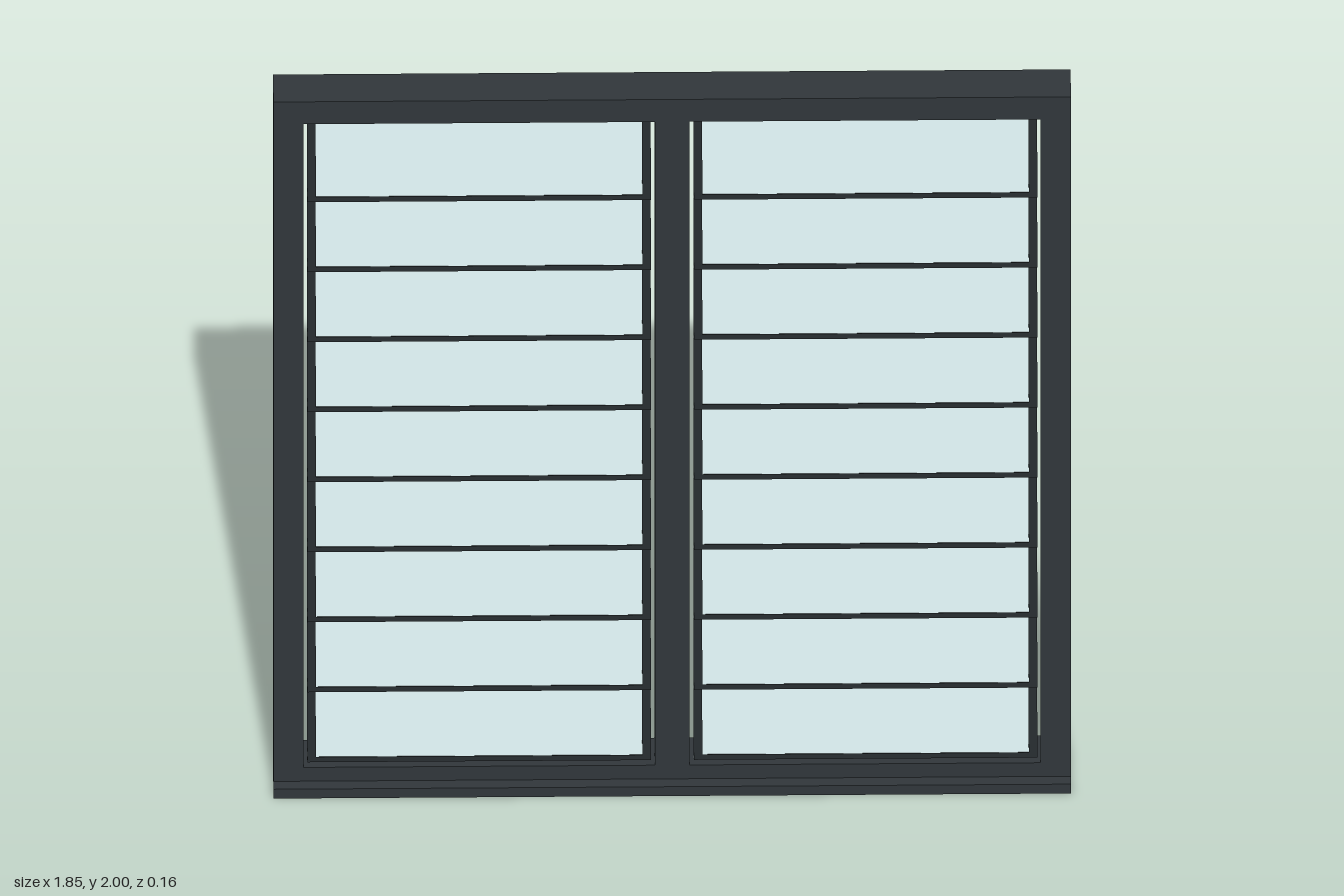
import * as THREE from 'three';

export function createModel() {
  const group = new THREE.Group();
  const frameMat = new THREE.MeshStandardMaterial({ color: 0x30363a });
  const clipMat = new THREE.MeshStandardMaterial({ color: 0x23282b });
  const glassMat = new THREE.MeshStandardMaterial({ color: 0xcfe2e4 });

  const box = (parent, name, mat, w, h, d, x, y, z) => {
    const mesh = new THREE.Mesh(new THREE.BoxGeometry(w, h, d), mat);
    mesh.name = name;
    mesh.position.set(x, y, z);
    parent.add(mesh);
    return mesh;
  };

  // Outer frame, mullion and projecting sill
  const depth = 0.105, zc = -0.0125;
  const frame = new THREE.Group();
  frame.name = 'frame';
  group.add(frame);
  box(frame, 'sill', frameMat, 1.845, 0.027, 0.15, 0, 0.0135, -0.005);
  for (const s of [-1, 1])
    box(frame, s > 0 ? 'leftStile' : 'rightStile', frameMat, 0.07, 1.973, depth, s * 0.8875, 1.0135, zc);
  box(frame, 'topRail', frameMat, 1.705, 0.065, depth, 0, 1.9675, zc);
  box(frame, 'bottomRail', frameMat, 1.705, 0.04, depth, 0, 0.047, zc);
  box(frame, 'mullion', frameMat, 0.08, 1.868, depth, 0, 1.001, zc);

  // Tilted louvre: glass blade held by two end clips and a bottom edge strip
  const length = 0.204, tilt = -0.43, width = 0.795;
  const makeLouvre = () => {
    const louvre = new THREE.Group();
    louvre.name = 'louvre';
    box(louvre, 'glassBlade', glassMat, width, length, 0.006, 0, 0, 0);
    for (const s of [-1, 1])
      box(louvre, 'endClip', clipMat, 0.02, length - 0.02, 0.014, s * (width / 2 - 0.01), -0.01, 0);
    box(louvre, 'bottomStrip', clipMat, width, 0.012, 0.014, 0, -length / 2 + 0.004, 0);
    louvre.rotation.x = tilt;
    return louvre;
  };

  // Two bays of nine louvres
  for (const s of [-1, 1]) {
    const bay = new THREE.Group();
    bay.name = s > 0 ? 'leftBay' : 'rightBay';
    for (let i = 0; i < 9; i++) {
      const louvre = makeLouvre();
      louvre.position.set(s * 0.447, 0.203 + i * 0.2033, 0.029);
      bay.add(louvre);
    }
    group.add(bay);
  }
  return group;
}
